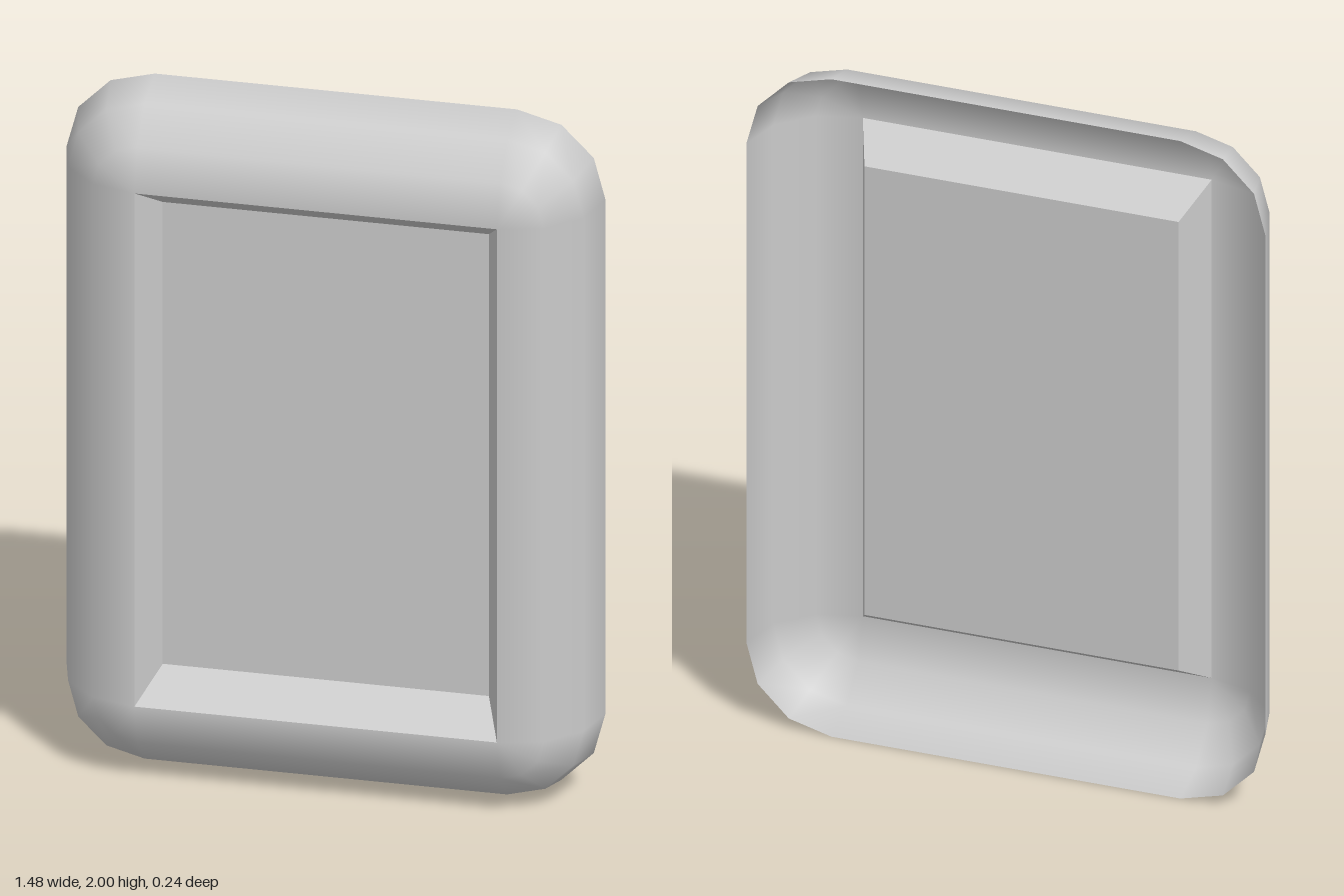
import * as THREE from 'three';

const R = 0.242;          // rim radius, also the depth of the frame
const HW = 0.496;         // half width of the opening
const HH = 1 - R;         // half height of the opening
const SEG = 3;            // facets per quarter turn

// Quarter-round rim swept round the opening, open at the back
function rimGeometry() {
  const pos = [], nor = [], idx = [];
  const corners = [[1, 1], [-1, 1], [-1, -1], [1, -1]];
  const count = 4 * (SEG + 1);
  for (let i = 0; i <= SEG; i++) {
    const lift = (i / SEG) * Math.PI / 2;
    corners.forEach(([sx, sy], c) => {
      for (let j = 0; j <= SEG; j++) {
        const turn = (c + j / SEG) * Math.PI / 2;
        const n = [Math.cos(lift) * Math.cos(turn), Math.cos(lift) * Math.sin(turn), Math.sin(lift)];
        pos.push(sx * HW + R * n[0], sy * HH + R * n[1], R * n[2] - R / 2);
        nor.push(...n);
      }
    });
  }
  for (let i = 0; i < SEG; i++) {
    for (let k = 0; k < count; k++) {
      const a = i * count + k, b = i * count + (k + 1) % count;
      idx.push(a, b, a + count);
      // corner patches close to a point at the opening
      const isCorner = k % (SEG + 1) < SEG;
      if (i < SEG - 1 || !isCorner) idx.push(b, b + count, a + count);
    }
  }
  const g = new THREE.BufferGeometry();
  g.setAttribute('position', new THREE.Float32BufferAttribute(pos, 3));
  g.setAttribute('normal', new THREE.Float32BufferAttribute(nor, 3));
  g.setIndex(idx);
  return g;
}

export function createModel() {
  const model = new THREE.Group();
  const smooth = new THREE.MeshStandardMaterial({ color: 0xcccccc, side: THREE.DoubleSide });
  const flat = new THREE.MeshStandardMaterial({ color: 0xcccccc, side: THREE.DoubleSide, flatShading: true });
  const add = (name, geometry, material, z = 0) => {
    const mesh = new THREE.Mesh(geometry, material);
    mesh.name = name;
    mesh.position.set(0, 1, z);
    model.add(mesh);
  };

  add('frameRim', rimGeometry(), smooth);

  // Sloping walls running back from the opening to the panel
  const depth = R / 2, taper = 0.9;
  const walls = new THREE.CylinderGeometry(Math.SQRT2, Math.SQRT2 * taper, depth, 4, 1, true, Math.PI / 4);
  walls.rotateX(Math.PI / 2).scale(HW, HH, 1);
  add('recessWalls', walls, flat, depth / 2);

  // Flat panel at the bottom of the recess
  add('panel', new THREE.PlaneGeometry(2 * HW * taper, 2 * HH * taper), flat);

  return model;
}
